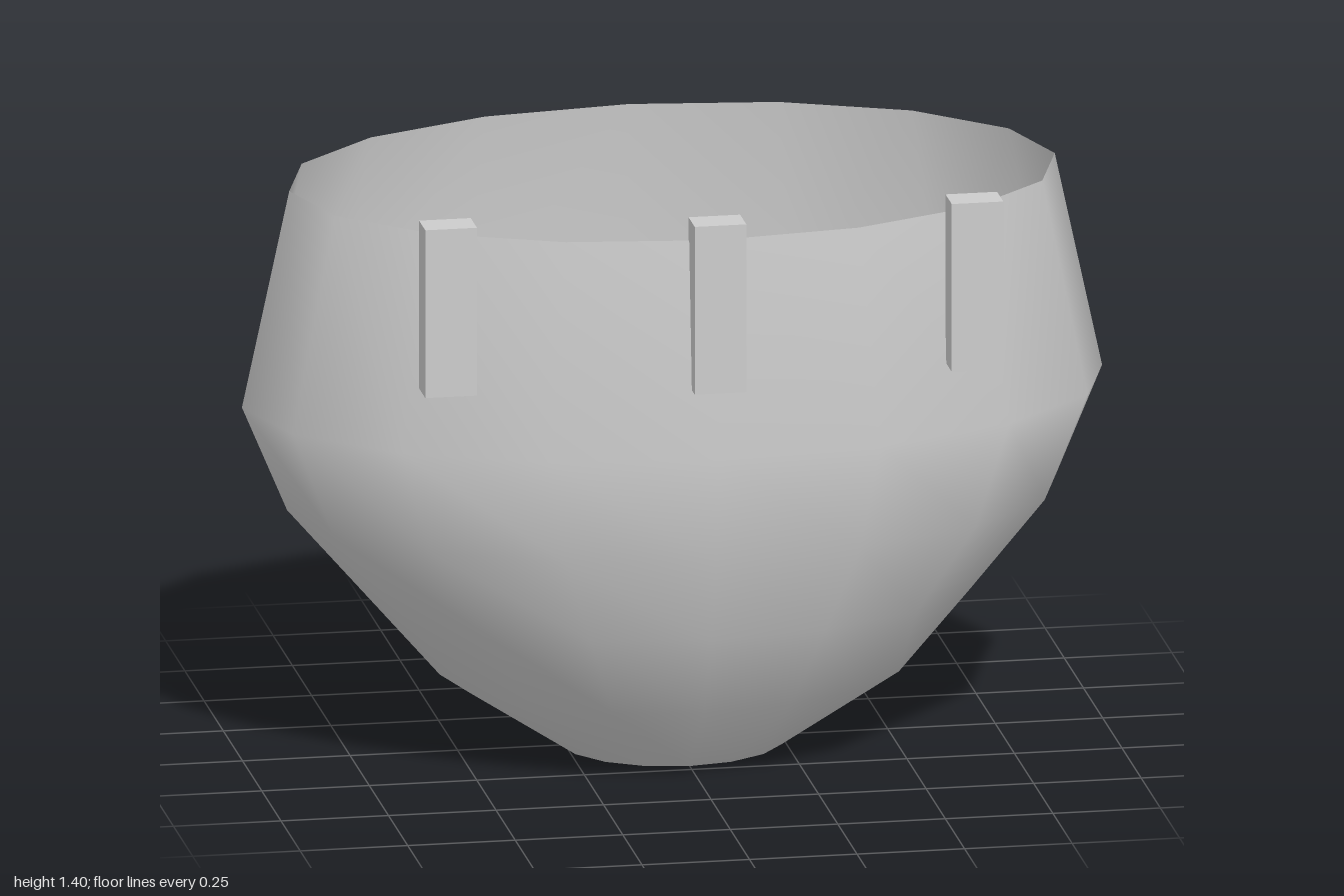
import * as THREE from 'three';
import { mergeVertices } from 'three/addons/utils/BufferGeometryUtils.js';

const SIDES = 16;
const CENTRE_Z = -0.008;
// Oval rings from base to rim: height, half width, half depth
const RINGS = [
  [0, 0.26, 0.23],
  [0.18, 0.54, 0.417],
  [0.38, 0.713, 0.512],
  [0.59, 0.895, 0.58],
  [0.84, 1.0, 0.617],
  [1.35, 0.89, 0.567],
];

// Smooth open shell: a lathe flattened in depth, ring by ring
function shellGeometry() {
  const lathe = new THREE.LatheGeometry(RINGS.map(([y, w]) => new THREE.Vector2(w, y)), SIDES);
  const pos = lathe.attributes.position;
  for (let i = 0; i < pos.count; i++) {
    const [, w, d] = RINGS[i % RINGS.length];
    pos.setZ(i, pos.getZ(i) * d / w);
  }
  lathe.deleteAttribute('uv');
  lathe.deleteAttribute('normal');
  const shell = mergeVertices(lathe);
  shell.computeVertexNormals();
  return shell;
}

export function createModel() {
  const group = new THREE.Group();
  const grey = new THREE.MeshStandardMaterial({ color: 0xcccccc, side: THREE.DoubleSide });
  grey.name = 'light grey';

  const add = (name, geometry, x, y, z) => {
    const mesh = new THREE.Mesh(geometry, grey);
    mesh.name = name;
    mesh.position.set(x, y, z);
    group.add(mesh);
  };

  add('bowl', shellGeometry(), 0, 0, CENTRE_Z);

  // Flat base closing the bowl
  const base = new THREE.CircleGeometry(1, SIDES).scale(RINGS[0][1], RINGS[0][2], 1).rotateX(Math.PI / 2);
  add('base', base, 0, 0, CENTRE_Z);

  // Upright clips along the front rim
  const clip = new THREE.BoxGeometry(0.12, 0.4, 0.081);
  for (const [name, x, z] of [['rightClip', -0.612, 0.502], ['middleClip', 0, 0.583], ['leftClip', 0.612, 0.502]]) {
    add(name, clip, x, 1.203, z);
  }

  return group;
}
